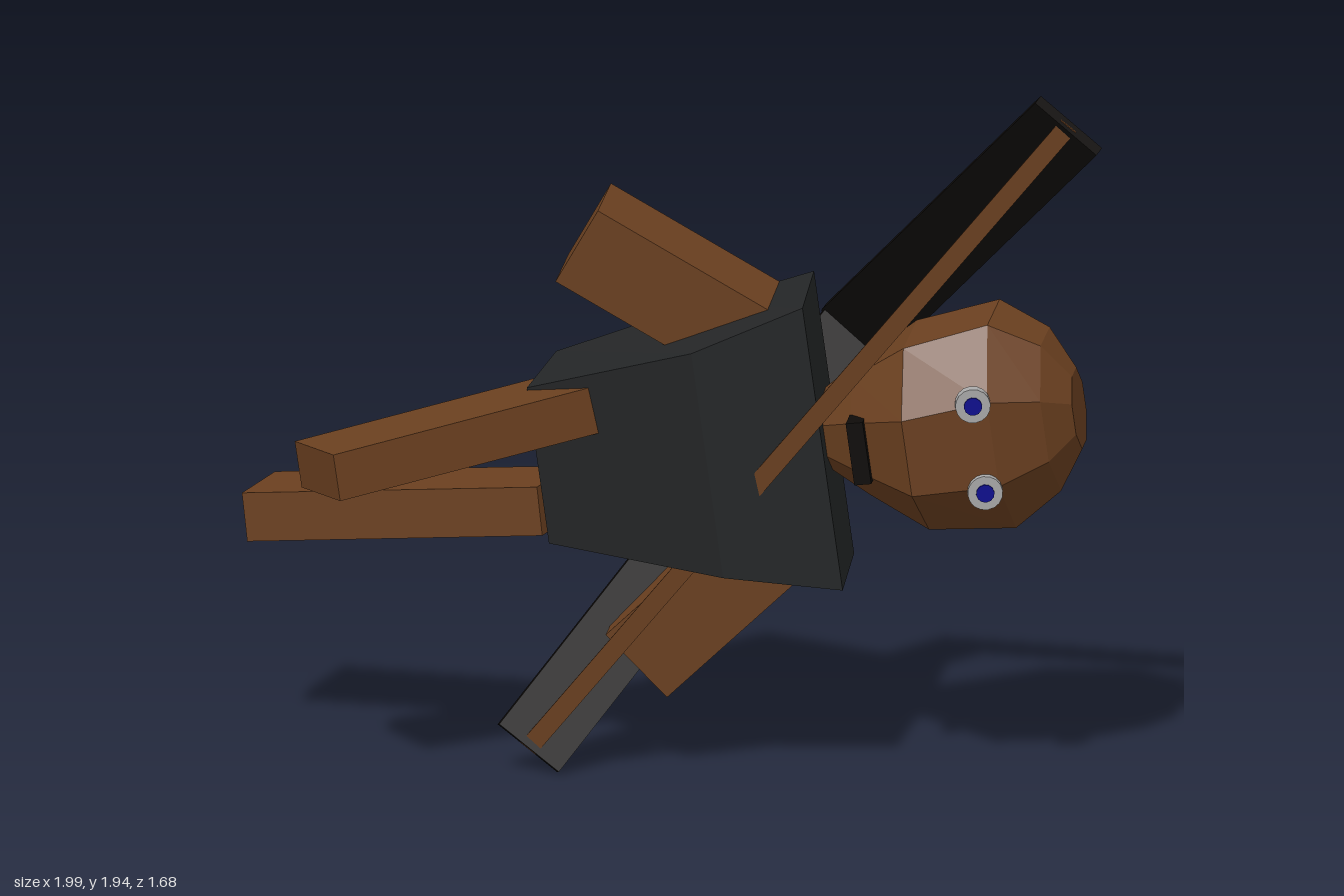
import * as THREE from 'three';

const BROWN = 0x6b4020, DARK = 0x242627, BLACK = 0x0e0b09;
const V = (x, y, z) => new THREE.Vector3(x, y, z);
const mat = (color) => new THREE.MeshStandardMaterial({ color, flatShading: true });

function addMesh(parent, name, geometry, color) {
  const mesh = new THREE.Mesh(geometry, mat(color));
  mesh.name = name;
  parent.add(mesh);
  return mesh;
}

// Box running from a to b; w is its size along the given width axis, t the other size
function beam(parent, name, a, b, widthAxis, w, t, color) {
  const y = b.clone().sub(a), len = y.length();
  y.normalize();
  const x = widthAxis.clone().addScaledVector(y, -widthAxis.dot(y)).normalize();
  const z = x.clone().cross(y);
  const mesh = addMesh(parent, name, new THREE.BoxGeometry(w, len, t), color);
  mesh.quaternion.setFromRotationMatrix(new THREE.Matrix4().makeBasis(x, y, z));
  mesh.position.copy(a).add(b).multiplyScalar(0.5);
  return mesh;
}

// Closed skin over rings of points, stacked from bottom to top
function loft(rings) {
  const n = rings[0].length, pos = [], idx = [];
  rings.forEach((ring) => ring.forEach((p) => pos.push(...p)));
  for (let r = 0; r < rings.length - 1; r++) {
    for (let i = 0; i < n; i++) {
      const j = (i + 1) % n;
      const a = r * n + i, b = r * n + j, c = b + n, d = a + n;
      idx.push(a, d, b, b, d, c);
    }
  }
  const top = (rings.length - 1) * n;
  for (let i = 1; i < n - 1; i++) {
    idx.push(0, i, i + 1);
    idx.push(top, top + i + 1, top + i);
  }
  const g = new THREE.BufferGeometry();
  g.setAttribute('position', new THREE.Float32BufferAttribute(pos, 3));
  g.setIndex(idx);
  const flat = g.toNonIndexed();
  flat.computeVertexNormals();
  return flat;
}

export function createModel() {
  const model = new THREE.Group();
  model.name = 'flyingArcher';

  // Body frame: local x = side, y = towards the head, z = chest
  const up = V(0.856, 0.124, 0.5).normalize();
  const chest = V(-0.495, -0.0715, 0.865);
  chest.addScaledVector(up, -chest.dot(up)).normalize();
  const side = up.clone().cross(chest);
  const body = new THREE.Group();
  body.name = 'body';
  body.quaternion.setFromRotationMatrix(new THREE.Matrix4().makeBasis(side, up, chest));
  body.position.set(0.05, 0.895, 0);
  model.add(body);

  // Torso: wide shoulders, narrow hips, full belly
  // [half width, front height, front depth, back height, back depth]
  const torso = [
    [0.215, -0.39, 0.111, -0.357, -0.174],
    [0.31, 0.078, 0.225, 0.02, -0.17],
    [0.39, 0.375, 0.163, 0.358, -0.138],
  ];
  addMesh(body, 'torso', loft(torso.map(([w, yf, f, yb, b]) =>
    [[w, yf, f], [-w, yf, f], [-w, yb, b], [w, yb, b]])), DARK);

  // Head: eight-sided rings, narrow at the chin
  // [height, half width, back, front]
  const head = [
    [0.35, 0.09, -0.11, 0.08],
    [0.46, 0.16, -0.16, 0.17],
    [0.62, 0.25, -0.25, 0.3],
    [0.84, 0.28, -0.265, 0.24],
    [0.965, 0.2, -0.205, 0.165],
    [1.03, 0.1, -0.1, 0.08],
  ];
  addMesh(body, 'head', loft(head.map(([y, w, back, front]) => {
    const ring = [];
    for (let i = 0; i < 8; i++) {
      const a = (i + 0.5) * Math.PI / 4, k = 1 / Math.cos(Math.PI / 8);
      ring.push([w * k * Math.cos(a), y, (back + front) / 2 + (front - back) / 2 * k * Math.sin(a)]);
    }
    return ring;
  })), BROWN);

  // Mouth
  const mouth = addMesh(body, 'mouth', new THREE.BoxGeometry(0.17, 0.045, 0.07), BLACK);
  mouth.position.set(0, 0.48, 0.19);

  for (const s of [-1, 1]) {
    // Eyes: pale disc with a blue pupil
    const eye = new THREE.Group();
    eye.name = 'eye';
    eye.position.set(s * 0.12, 0.805, 0.255);
    eye.rotation.x = -0.2;
    body.add(eye);
    const white = addMesh(eye, 'eyeWhite', new THREE.CylinderGeometry(0.046, 0.046, 0.03, 16), 0xaaaaaa);
    const pupil = addMesh(eye, 'pupil', new THREE.CylinderGeometry(0.024, 0.024, 0.04, 12), 0x0c0c90);
    white.rotation.x = pupil.rotation.x = Math.PI / 2;

    // Arms sweep outwards and back along the body
    beam(body, 'arm', V(s * 0.26, 0.214, -0.032), V(s * 0.58, -0.213, -0.032),
      V(0, 0, 1), 0.22, 0.23, BROWN);
  }

  // Legs, spread in a stride
  beam(model, 'rightLeg', V(-0.23, 1.0, -0.09), V(-0.985, 0.907, -0.015),
    V(0.03, 0.02, 0.23), 0.23, 0.125, BROWN);
  beam(model, 'leftLeg', V(-0.25, 0.71, -0.2), V(-0.86, 0.613, -0.755),
    V(0.17, 0, -0.17), 0.235, 0.13, BROWN);

  // Bow: two flat limbs meeting at the grip, with a straight string
  const bow = new THREE.Group();
  bow.name = 'bow';
  model.add(bow);
  const across = V(0.667, -0.667, 0.333);
  const tipA = V(0.8, 1.87, 0.79), grip = V(0.585, 1.08, -0.21), tipB = V(-0.36, 0.075, -0.115);
  beam(bow, 'upperLimb', grip, tipA, across, 0.21, 0.03, BLACK);
  beam(bow, 'lowerLimb', grip, tipB, across, 0.2, 0.03, BLACK);
  beam(bow, 'string', tipB, tipA, across, 0.05, 0.008, BROWN);

  return model;
}
